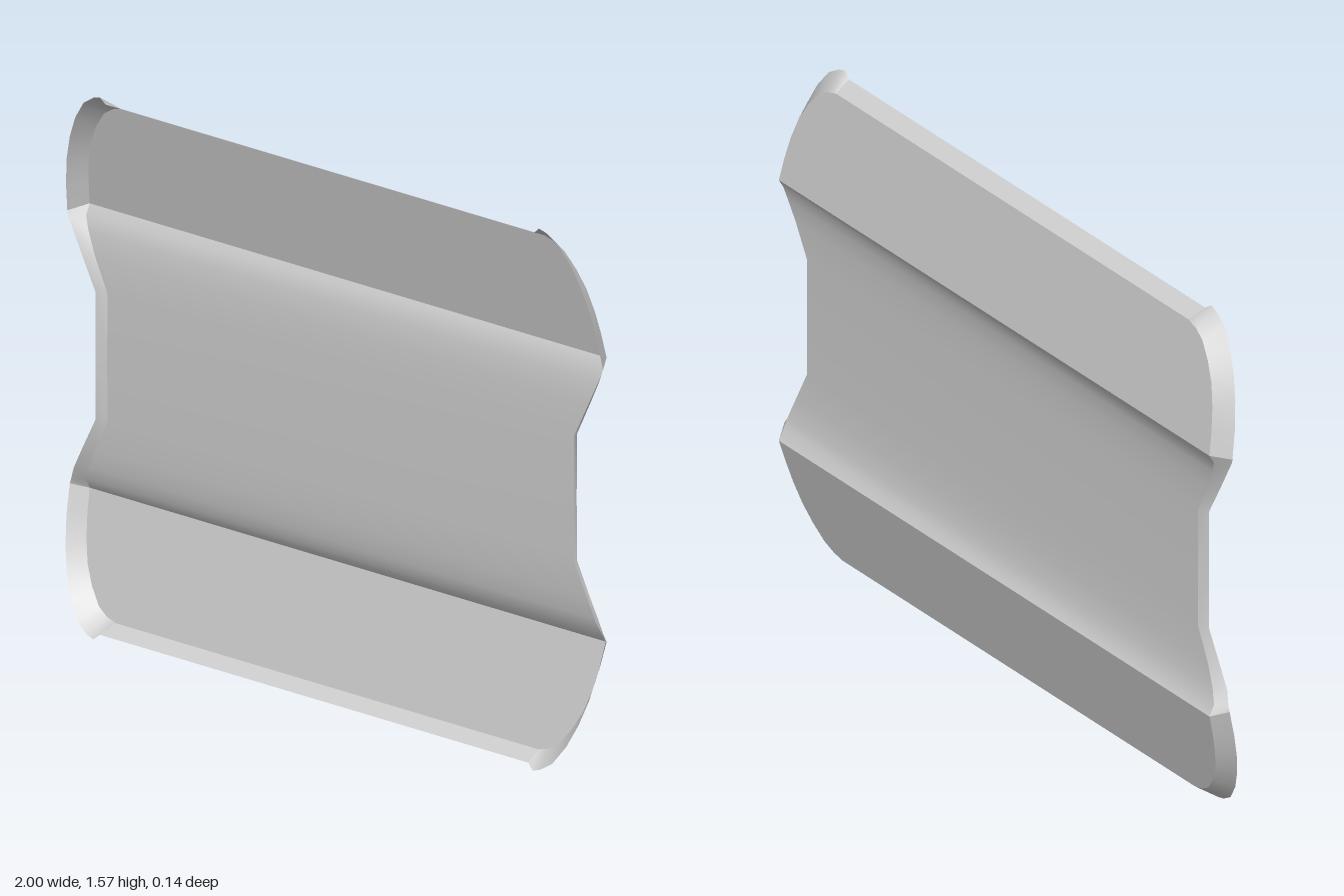
import * as THREE from 'three';

const H = 1.572; // overall height; the lower half mirrors the upper about H / 2

// Smooth open surface through rows of equally many [x, y, z] points
function surface(name, rows, material) {
  const n = rows[0].length, index = [];
  for (let r = 0; r < rows.length - 1; r++) {
    for (let c = 0; c < n - 1; c++) {
      const a = r * n + c, b = a + n;
      index.push(a, b, a + 1, b, b + 1, a + 1);
    }
  }
  const g = new THREE.BufferGeometry();
  g.setAttribute('position', new THREE.Float32BufferAttribute(rows.flat(2), 3));
  g.setIndex(index);
  g.computeVertexNormals();
  const mesh = new THREE.Mesh(g, material);
  mesh.name = name;
  return mesh;
}

// Rounded end of a flange: [inner x, inner y, outer x, outer y]
const END = [
  [0.965, 1.2, 1, 1.185],
  [0.957, 1.27, 0.992, 1.27],
  [0.945, 1.335, 0.977, 1.35],
  [0.925, 1.4, 0.955, 1.42],
  [0.895, 1.455, 0.925, 1.485],
  [0.86, 1.5, 0.885, 1.54],
  [0.825, 1.522, 0.845, 1.565],
  [0.81, 1.526, 0.82, 1.572],
  [0.79, 1.532, 0.8, 1.555],
];

// Web: [y, sheet z, inner x on the right end, inner x on the left end, outer x]
const WEB = [
  [1.2, -0.073, 0.965, 0.965, 1],
  [1.17, -0.055, 0.962, 0.968, 0.995],
  [1.13, -0.045, 0.943, 0.96, 0.975],
  [1.07, -0.037, 0.913, 0.937, 0.945],
  [0.97, -0.034, 0.863, 0.89, 0.893],
  [0.786, -0.033, 0.863, 0.89, 0.893],
];

export function createModel() {
  const group = new THREE.Group();
  const material = new THREE.MeshStandardMaterial({ color: 0xcccccc, side: THREE.DoubleSide });
  const add = (name, rows) => group.add(surface(name, rows, material));

  // Upper and lower flanges, leaning forward, with their flared rims
  for (const top of [true, false]) {
    const label = top ? 'upper' : 'lower';
    const flip = y => (top ? y : H - y);
    const innerZ = y => -0.073 + (y - 1.2) * (top ? 0.19 : 0.26);
    const outerZ = y => (top ? -0.02 + (y - 1.185) * 0.167 : -0.03 + (y - 1.185) * 0.26);
    const inner = (p, s) => [s * p[0], flip(p[1]), innerZ(p[1])];
    const outer = (p, s) => [s * p[2], flip(p[3]), outerZ(p[3])];

    add(label + 'Flange', END.map(p => [inner(p, -1), inner(p, 1)]));
    for (const s of [-1, 1]) {
      add(label + (s > 0 ? 'LeftRim' : 'RightRim'), END.map(p => [inner(p, s), outer(p, s)]));
    }
    const last = END[END.length - 1];
    add(label + 'EdgeRim', [-1, 1].map(s => [inner(last, s), outer(last, s)]));
  }

  // Recessed web between the flanges, with notched ends
  const lower = WEB.slice(0, -1).reverse().map(r => [H - r[0], ...r.slice(1)]);
  const rows = [...WEB, ...lower];
  add('web', rows.map(([y, z, r, l]) => [[-r, y, z], [l, y, z]]));

  // Short rims around the notches
  for (const s of [-1, 1]) {
    add(s > 0 ? 'leftNotchRim' : 'rightNotchRim', rows.map(([y, z, r, l, o], i) => {
      const end = i === 0 ? -0.015 : i === rows.length - 1 ? 0.015 : 0;
      const front = y < 0.42 ? -0.03 : -0.019;
      return [[s * (s > 0 ? l : r), y, z], [s * o, y + end, front]];
    }));
  }
  return group;
}
